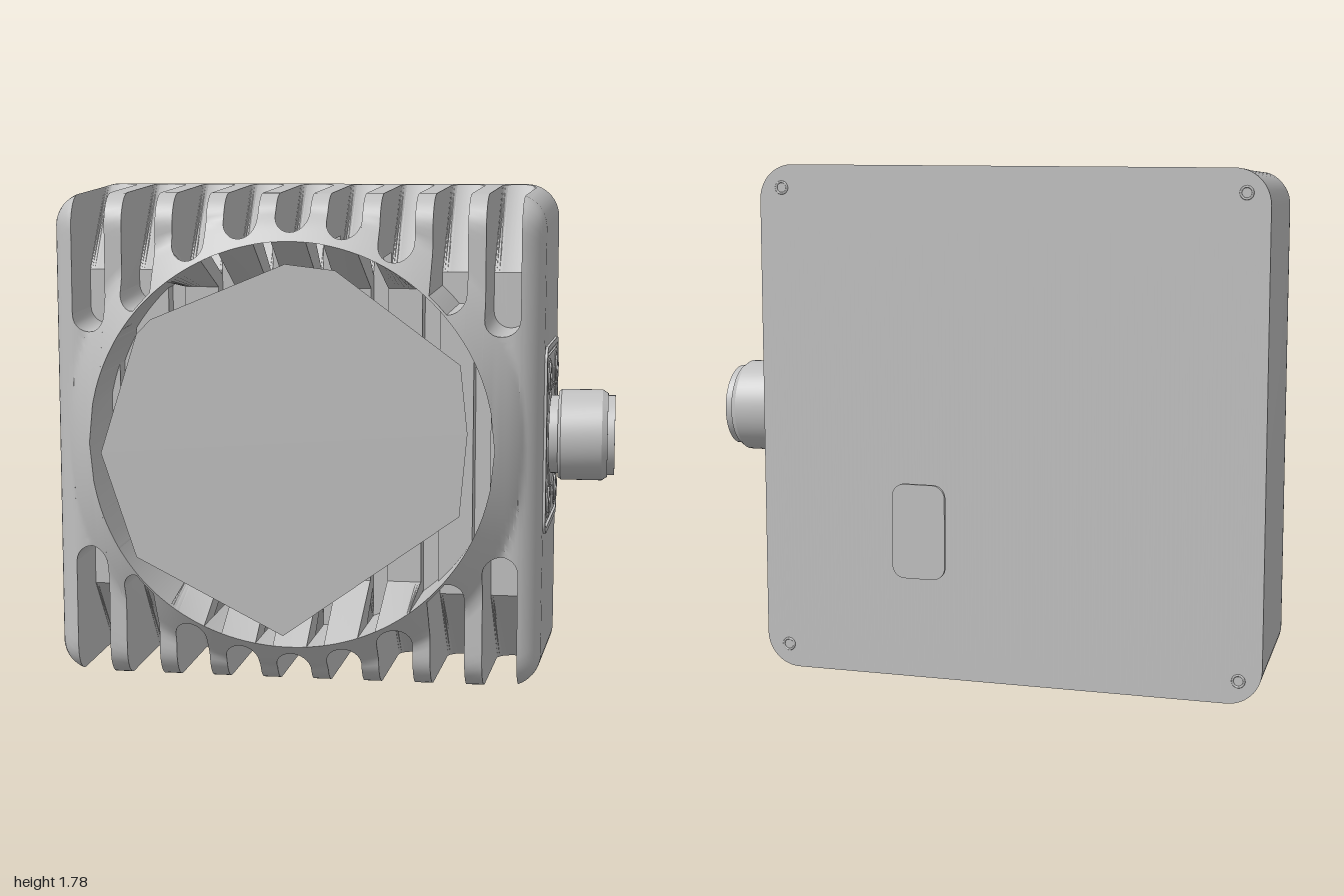
import * as THREE from 'three';
import { mergeGeometries, toCreasedNormals } from 'three/addons/utils/BufferGeometryUtils.js';

const CX = -0.11, CY = 0.893, HALF = 0.89, CORNER = 0.12, FILLET = 0.115;
const RING = 0.733, BACK = -0.4, SLOT_R = 0.062, PITCH = 0.1875;

// Height of the front face at an offset (u, v) from the housing centre
function frontZ(u, v) {
  const d = Math.hypot(u, v), diag = d > 0 ? (2 * u * v / (d * d)) ** 2 : 0;
  const z = Math.max(0.247, 0.332 + 0.022 * diag - Math.max(0, d - RING) * 0.85);
  const ex = HALF - Math.abs(u), ey = HALF - Math.abs(v);
  let e = Math.min(ex, ey);
  if (ex < CORNER && ey < CORNER) e = CORNER - Math.hypot(CORNER - ex, CORNER - ey);
  const k = FILLET - Math.min(FILLET, Math.max(0, e));
  return z - FILLET + Math.sqrt(FILLET * FILLET - k * k);
}

// Closed cross-section [z, v] at offset u; slot is the slot centre, or null for a fin
function profile(u, slot) {
  const h = Math.sqrt(Math.max(0, RING * RING - u * u));
  const ex = HALF - Math.abs(u);
  const H = ex < CORNER ? HALF - CORNER + Math.sqrt(CORNER ** 2 - (CORNER - ex) ** 2) : HALF;
  // Inside the ring the back of each slot leans inward as a rib
  const half = [h === 0 ? [frontZ(u, 0), 0] : slot === null ? [-0.06, h] : [0.02, Math.min(h, 0.54)],
    [frontZ(u, h), h]];
  let end = H;
  const floor = [];
  if (slot !== null) {
    // Rounded slot end, a sloping floor behind it, and a ramp up to the back edge
    const a = Math.abs(slot), du = u - slot;
    const round = Math.sqrt(Math.max(0, SLOT_R * SLOT_R - du * du));
    const tip = a > 0.6 ? 0.395 : a > 0.5 ? 0.48 : Math.sqrt(RING * RING - slot * slot) + 0.03;
    end = Math.max(h + 0.012, tip + SLOT_R - round);
    floor.push([-0.05, Math.min(end, 0.58)], [-0.05, 0.595], [-0.31 - round, H]);
  }
  const N = 18;
  for (let i = 1; i <= N; i++) {
    const v = h + (end - h) * Math.sin(i / N * Math.PI / 2);
    half.push([frontZ(u, v), v]);
  }
  half.push(...floor, [BACK, H]);
  return [...half, ...half.map(([z, v]) => [z, -v]).reverse()];
}

// Loft the cross-sections from u0 to u1, with both ends capped
function slab(u0, u1, slot, n) {
  const rows = [], pos = [];
  for (let i = 0; i <= n; i++) {
    const u = u0 + (u1 - u0) * (1 - Math.cos(Math.PI * i / n)) / 2;
    rows.push(profile(u, slot).map(([z, v]) => {
      const s = 1 - 0.05 * (z - BACK);            // casting draft
      return [CX + u * s, CY + v * s, z];
    }));
  }
  const m = rows[0].length;
  for (let i = 0; i < n; i++) for (let j = 0; j < m; j++) {
    const k = (j + 1) % m, a = rows[i][j], b = rows[i][k], c = rows[i + 1][k], d = rows[i + 1][j];
    pos.push(...a, ...d, ...b, ...d, ...c, ...b);
  }
  for (const [row, dir] of [[rows[0], -1], [rows[n], 1]]) {
    const flat = row.map(p => new THREE.Vector2(-p[2], p[1]));
    for (const [a, b, c] of THREE.ShapeUtils.triangulateShape(flat, [])) {
      const ccw = THREE.ShapeUtils.area([flat[a], flat[b], flat[c]]) > 0;
      const t = ccw === (dir > 0) ? [a, b, c] : [a, c, b];
      t.forEach(i => pos.push(...row[i]));
    }
  }
  const g = new THREE.BufferGeometry();
  g.setAttribute('position', new THREE.Float32BufferAttribute(pos, 3));
  return toCreasedNormals(g, 0.6);
}

function roundRect(w, h, r, Type = THREE.Shape) {
  const s = new Type(), x = w / 2, y = h / 2;
  s.absarc(x - r, y - r, r, 0, Math.PI / 2);
  s.absarc(-x + r, y - r, r, Math.PI / 2, Math.PI);
  s.absarc(-x + r, -y + r, r, Math.PI, Math.PI * 1.5);
  s.absarc(x - r, -y + r, r, Math.PI * 1.5, Math.PI * 2);
  s.closePath();
  return s;
}

const extrude = (shape, depth) =>
  new THREE.ExtrudeGeometry(shape, { depth, bevelEnabled: false, curveSegments: 10 });

// Round screw head with a cross-shaped recess
function screwHead() {
  const s = new THREE.Shape().absarc(0, 0, 0.048, 0, Math.PI * 2);
  const a = 0.03, b = 0.01;
  const cross = [[a, b], [b, b], [b, a], [-b, a], [-b, b], [-a, b],
    [-a, -b], [-b, -b], [-b, -a], [b, -a], [b, -b], [a, -b]];
  s.holes.push(new THREE.Path(cross.map(p => new THREE.Vector2(...p))));
  return extrude(s, 0.012);
}

export function createModel() {
  const model = new THREE.Group();
  model.name = 'finnedSensorHousing';
  const grey = new THREE.MeshStandardMaterial({ color: 0xc0c0c0 });
  grey.name = 'castGrey';
  const sheet = new THREE.MeshStandardMaterial({ color: 0xbebebe, side: THREE.DoubleSide });
  sheet.name = 'sheetGrey';
  const add = (name, geo, parent = model, x = 0, y = 0, z = 0, mat = grey) => {
    const mesh = new THREE.Mesh(geo, mat);
    mesh.name = name;
    mesh.position.set(x, y, z);
    parent.add(mesh);
    return mesh;
  };

  // Housing: alternating fins and cooling slots
  const slabs = [];
  let edge = -HALF;
  for (let i = -4; i <= 4; i++) {
    const c = i * PITCH;
    slabs.push(slab(edge, c - SLOT_R, null, i === -4 ? 12 : 6));
    slabs.push(slab(c - SLOT_R, c + SLOT_R, c, 12));
    edge = c + SLOT_R;
  }
  slabs.push(slab(edge, HALF, null, 12));
  add('housing', mergeGeometries(slabs));

  // Faceted front window, standing clear of the ring
  const facet = [[-0.1, 1.53], [0.07, 1.51], [0.49, 1.2], [0.515, 0.97], [0.49, 0.69],
    [-0.11, 0.26], [-0.62, 0.52], [-0.74, 0.88], [-0.61, 1.29], [-0.56, 1.34]];
  const pane = new THREE.Shape(facet.map(p => new THREE.Vector2(...p)).reverse());
  add('frontWindow', new THREE.ShapeGeometry(pane), model, 0, 0, 0.466, sheet);

  // Connector panel with rim, flange ring and cross-head screws
  const panel = new THREE.Group();
  panel.name = 'connectorPanel';
  panel.position.set(0.766, 0.9, -0.107);
  panel.rotation.y = Math.PI / 2 - 0.0445;
  model.add(panel);
  const rim = roundRect(0.5, 0.66, 0.05);
  rim.holes.push(roundRect(0.46, 0.62, 0.035, THREE.Path));
  add('panelRim', extrude(rim, 0.018), panel, 0, 0, -0.008);
  add('panelPlate', extrude(roundRect(0.43, 0.59, 0.03), 0.016), panel, 0, 0, -0.008);
  add('flangeRing', new THREE.TorusGeometry(0.185, 0.006, 8, 48), panel, 0, -0.004, 0.007);
  const seatGeo = new THREE.TorusGeometry(0.06, 0.005, 8, 28), headGeo = screwHead();
  for (const sx of [-1, 1]) for (const sy of [-1, 1]) {
    const screw = new THREE.Group();
    screw.name = 'panelScrew';
    screw.position.set(sx * 0.14, sy * 0.22, 0.007);
    panel.add(screw);
    add('screwSeat', seatGeo, screw);
    add('screwHead', headGeo, screw, 0, 0, -0.003);
  }

  // Round plug, hollow at its end, with contact pins
  const plug = new THREE.Group();
  plug.name = 'connector';
  plug.position.set(0, 0.896, -0.107);
  plug.rotation.z = -Math.PI / 2;
  model.add(plug);
  const outline = [[0.14, 0.74], [0.14, 0.8], [0.155, 0.8], [0.163, 0.81], [0.163, 0.955], [0.15, 0.975],
    [0.143, 0.975], [0.143, 1], [0.118, 1], [0.118, 0.86], [0, 0.86]];
  const lathe = new THREE.LatheGeometry(outline.map(p => new THREE.Vector2(...p)), 48);
  add('plugShell', toCreasedNormals(lathe, 0.5), plug);
  const pinGeo = new THREE.CylinderGeometry(0.009, 0.009, 0.1, 10);
  for (const [count, r] of [[9, 0.08], [3, 0.032]]) for (let i = 0; i < count; i++) {
    const a = i / count * Math.PI * 2 + 0.3;
    add('contactPin', pinGeo, plug, r * Math.cos(a), 0.91, r * Math.sin(a));
  }
  add('plugKey', new THREE.BoxGeometry(0.03, 0.12, 0.025), plug, 0, 0.92, -0.108);

  // Rear corner screws and the separate rear badge
  const rearRing = new THREE.TorusGeometry(0.02, 0.004, 6, 24);
  for (const sx of [-1, 1]) for (const sy of [-1, 1])
    add('rearScrew', rearRing, model, CX + sx * 0.81, CY + sy * 0.81, BACK);
  add('rearBadge', extrude(roundRect(0.19, 0.33, 0.045), 0.012), model, 0.185, 0.535, -0.466);
  return model;
}
